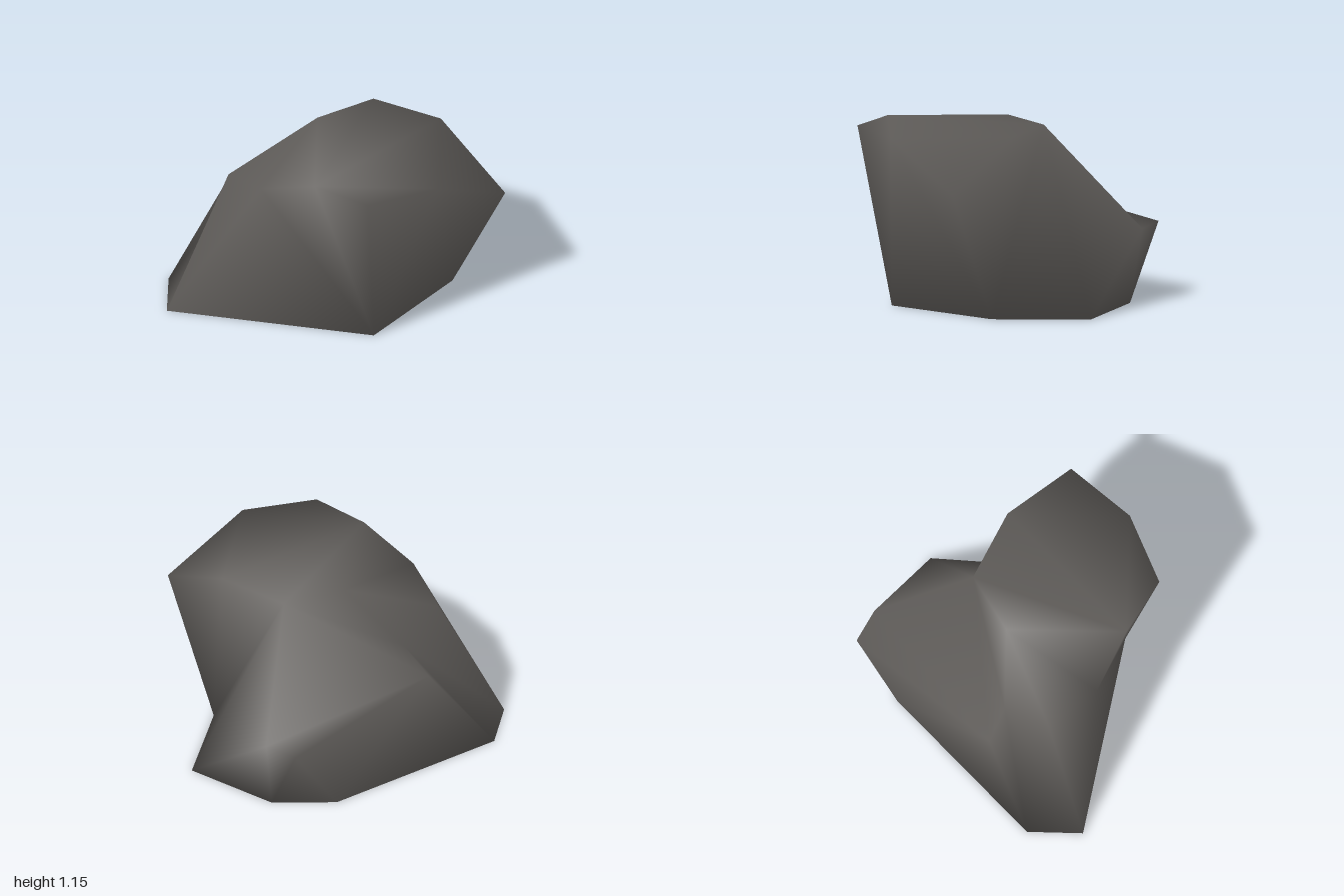
import * as THREE from 'three';

// Outline of the ground contact, as [x, z] at y = 0
const base = [[-0.57, 1], [0.52, 0.235], [0.42, -0.54], [0, -1], [-0.58, -0.79], [-0.81, -0.45], [-0.82, 0.75]];

// Corners between ground and top, as [x, y, z]
const shoulder = [
  [0.84, 0.86, -0.6],    // 7  back left overhang
  [-0.62, 0.48, -0.86],  // 8  low back ridge
  [-0.84, 0.49, -0.79],  // 9  low back corner
  [-0.73, 0.62, 0.31],   // 10 side ridge
  [-0.54, 0.77, 0.25],   // 11 side gully
  [-0.46, 0.9, 0.57],    // 12 front corner
  [-0.1, 1, 0.63],       // 13 front brow
];

// Outline of the flat top, as [x, z]
const topY = 1.15;
const top = [[0.27, 0.51], [0.65, 0.41], [0.82, -0.04], [0.27, -0.58], [-0.18, -0.42], [-0.27, -0.02]];

// Facets, each an outward polygon of corner numbers (base 0-6, shoulder 7-13, top 14-19)
const facets = [
  [6, 5, 4, 3, 2, 1, 0], [14, 15, 16, 17, 18, 19],         // underside, top
  [19, 12, 13], [19, 13, 14],                              // front bevel
  [0, 1, 13], [0, 13, 12], [1, 15, 14], [1, 14, 13],       // front wall
  [1, 16, 15], [1, 2, 16], [2, 7, 16], [16, 7, 17],        // left wall
  [7, 2, 17], [2, 18, 17], [2, 3, 18], [3, 8, 18],         // back wall
  [3, 4, 8], [4, 9, 8], [4, 5, 9],                         // low back corner
  [5, 10, 9], [5, 6, 10], [9, 10, 8], [10, 18, 8],         // right wall and slope
  [6, 11, 10], [6, 0, 11], [0, 12, 11],                    // gully
  [11, 12, 19], [11, 19, 18], [10, 11, 18],
];

function boulderGeometry() {
  const corners = [
    ...base.map(([x, z]) => [x, 0, z]),
    ...shoulder,
    ...top.map(([x, z]) => [x, topY, z]),
  ];
  // Fan each polygon into triangles; shared corners give smooth normals
  const index = [];
  for (const f of facets) {
    for (let i = 1; i < f.length - 1; i++) index.push(f[0], f[i], f[i + 1]);
  }
  const geometry = new THREE.BufferGeometry();
  geometry.setAttribute('position', new THREE.Float32BufferAttribute(corners.flat(), 3));
  geometry.setIndex(index);
  geometry.computeVertexNormals();
  return geometry;
}

export function createModel() {
  const stone = new THREE.MeshStandardMaterial({ color: 0x625f5c });
  stone.name = 'stone';

  const boulder = new THREE.Mesh(boulderGeometry(), stone);
  boulder.name = 'boulder';

  const group = new THREE.Group();
  group.name = 'rock';
  group.add(boulder);
  return group;
}
